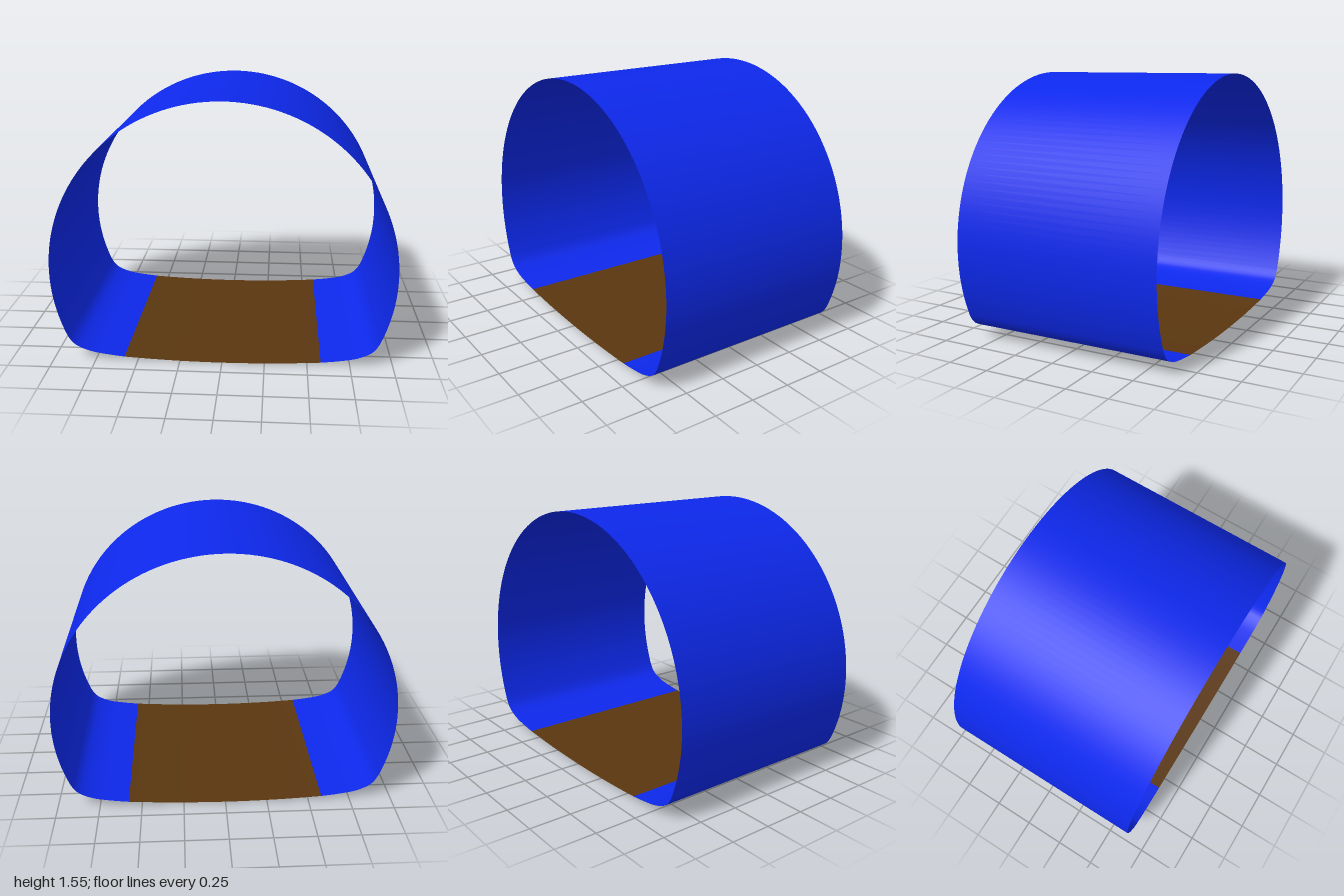
import * as THREE from 'three';

const HALF_DEPTH = 0.635;
const CENTRE_Y = 0.55; // centre of the unit-radius arch
const FLOOR_X = 0.58;  // half width of the floor panel
const FLOOR_Y = 0.02;  // height of the floor panel's side edges

// Thin sheet: sweeps a counter-clockwise profile along z
function sheet(name, profile, color) {
  const n = profile.length - 1;
  const geometry = new THREE.PlaneGeometry(1, 1, n, 1);
  const pos = geometry.attributes.position;
  for (let i = 0; i < pos.count; i++) {
    const p = profile[i % (n + 1)];
    pos.setXYZ(i, p.x, p.y, i <= n ? HALF_DEPTH : -HALF_DEPTH);
  }
  geometry.computeVertexNormals();
  const material = new THREE.MeshStandardMaterial({ color, side: THREE.DoubleSide });
  const mesh = new THREE.Mesh(geometry, material);
  mesh.name = name;
  return mesh;
}

export function createModel() {
  const group = new THREE.Group();
  group.name = 'archedTunnel';

  // Rounded lower corner, from the floor edge up to the arch
  const corner = new THREE.SplineCurve([
    [FLOOR_X, FLOOR_Y], [0.68, 0.032], [0.78, 0.05], [0.855, 0.08], [0.893, 0.112], [0.917, 0.151],
  ].map(([x, y]) => new THREE.Vector2(x, y))).getPoints(24);

  // Circular arch between the two corners
  const start = Math.atan2(0.151 - CENTRE_Y, 0.917);
  const arch = [];
  for (let i = 1; i < 96; i++) {
    const a = start + (Math.PI - 2 * start) * (i / 96);
    arch.push(new THREE.Vector2(Math.cos(a), CENTRE_Y + Math.sin(a)));
  }
  const mirrored = corner.map((p) => new THREE.Vector2(-p.x, p.y)).reverse();
  group.add(sheet('shell', [...corner, ...arch, ...mirrored], 0x0d28eb));

  // Slightly bowed floor panel
  const floor = [];
  for (let i = 0; i <= 24; i++) {
    const t = (i / 24) * 2 - 1;
    floor.push(new THREE.Vector2(FLOOR_X * t, FLOOR_Y * t * t));
  }
  group.add(sheet('floorPanel', floor, 0x5a3610));

  return group;
}
